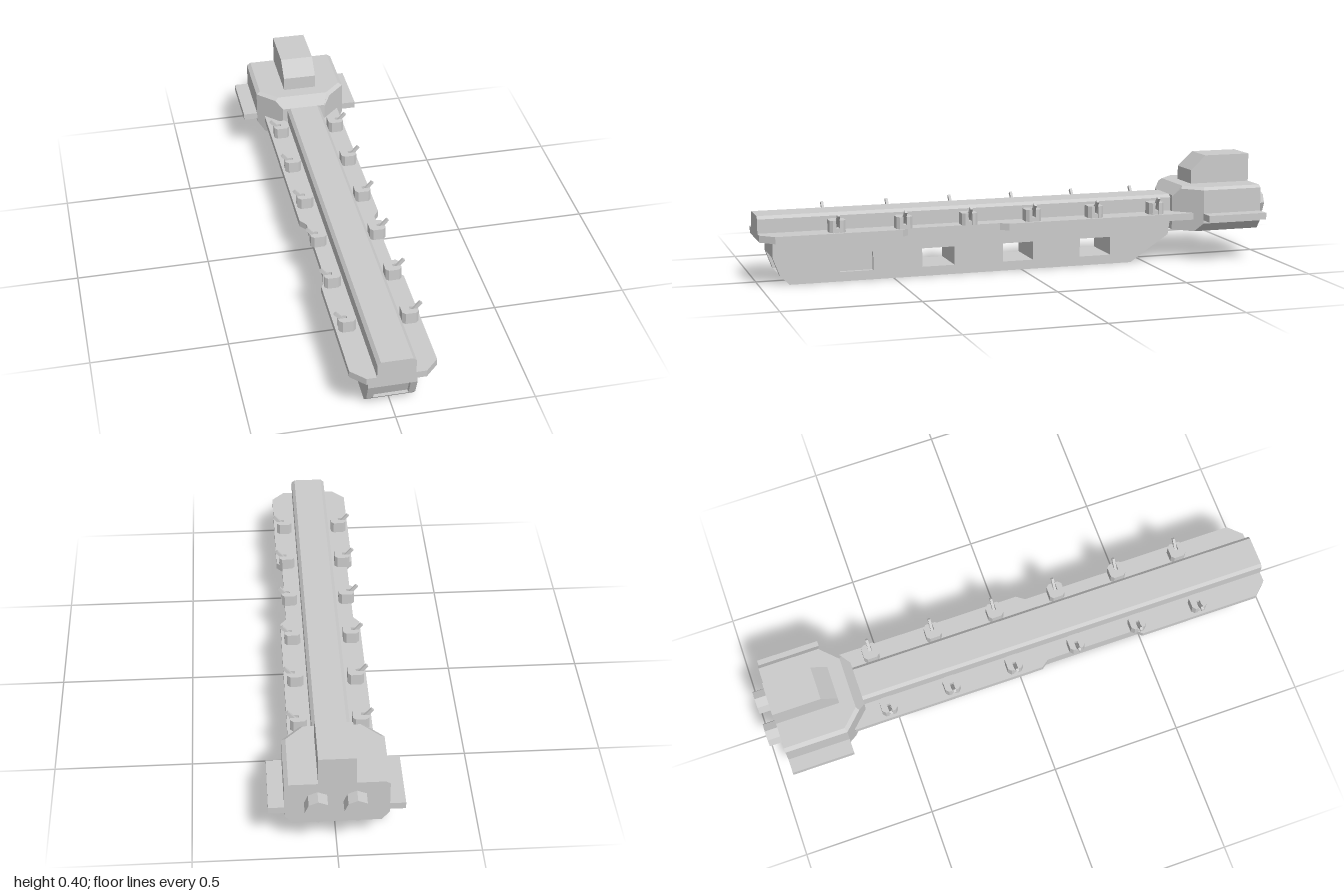
import * as THREE from 'three';

const mat = new THREE.MeshStandardMaterial({ color: 0xcccccc, flatShading: true });

function add(parent, name, geo, x = 0, y = 0, z = 0) {
  const mesh = new THREE.Mesh(geo, mat);
  mesh.name = name;
  mesh.position.set(x, y, z);
  parent.add(mesh);
  return mesh;
}

const toShape = pts => new THREE.Shape(pts.map(p => new THREE.Vector2(...p)));

function extrude(shape, depth) {
  return new THREE.ExtrudeGeometry(shape, { depth, bevelEnabled: false });
}

// Side profile given as (z, y), extruded along x and centred; windows run counter to the outline
function sideExtrude(pts, width, windows = []) {
  const shape = toShape(pts);
  for (const [a, b] of windows) {
    shape.holes.push(new THREE.Path([[a, 0.035], [b, 0.035], [b, 0.105], [a, 0.105]].map(p => new THREE.Vector2(...p))));
  }
  return extrude(shape, width).translate(0, 0, -width / 2).rotateY(-Math.PI / 2);
}

// Plan outline given as (x, z), extruded upward from y = 0
function planExtrude(pts, height) {
  return extrude(toShape(pts), height).rotateX(Math.PI / 2).translate(0, height, 0);
}

// Loft between rings of equal length, with flat end caps
function loft(rings) {
  const pos = [];
  const tri = (a, b, c) => pos.push(...a, ...b, ...c);
  const n = rings[0].length;
  for (let i = 0; i < rings.length - 1; i++) {
    for (let j = 0; j < n; j++) {
      const k = (j + 1) % n, A = rings[i], B = rings[i + 1];
      tri(A[j], B[j], B[k]);
      tri(A[j], B[k], A[k]);
    }
  }
  const first = rings[0], last = rings[rings.length - 1];
  for (let j = 1; j < n - 1; j++) {
    tri(first[0], first[j], first[j + 1]);
    tri(last[0], last[j + 1], last[j]);
  }
  const geo = new THREE.BufferGeometry();
  geo.setAttribute('position', new THREE.Float32BufferAttribute(pos, 3));
  geo.computeVertexNormals();
  return geo;
}

export function createModel() {
  const model = new THREE.Group();
  model.name = 'ship';

  // Hull: pierced core with recessed ends between two full-profile side walls
  const windows = [[0.577, 0.702], [0.265, 0.39], [-0.045, 0.075], [-0.36, -0.235]];
  const wall = [[0.95, 0.17], [0.95, 0.102], [0.925, 0.035], [0.89, 0],
    [-0.445, 0], [-0.6, 0.102], [-0.61, 0.17]];
  const core = [[0.95, 0.17], [0.95, 0.102], [0.935, 0.102], [0.91, 0.035], [0.925, 0.035], [0.89, 0],
    [-0.445, 0], [-0.468, 0.015], [-0.464, 0.021], [-0.579, 0.097], [-0.583, 0.091],
    [-0.6, 0.102], [-0.61, 0.17]];
  const hull = new THREE.Group();
  hull.name = 'hull';
  model.add(hull);
  add(hull, 'hullCore', sideExtrude(core, 0.126, windows));
  for (const s of [-1, 1]) {
    add(hull, 'hullWall', sideExtrude(wall, 0.024, windows), s * 0.075);
  }
  // Panel closing the foremost window
  add(hull, 'windowPanel', new THREE.BoxGeometry(0.01, 0.07, 0.125), 0.066, 0.07, 0.6395);

  // Deck with a shallow notch along each edge
  const edge = [[0.105, 1], [0.153, 0.95], [0.153, 0.48], [0.131, 0.455],
    [0.131, 0.1], [0.153, 0.07], [0.153, -0.68]];
  const mirrored = edge.map(([x, z]) => [-x, z]).reverse();
  add(model, 'deck', planExtrude([...edge, ...mirrored], 0.026), 0, 0.166);

  // Central spine with bevelled top edges
  const spine = [[-0.068, 0.18], [0.068, 0.18], [0.068, 0.244], [0.056, 0.255], [-0.056, 0.255], [-0.068, 0.244]];
  add(model, 'spine', extrude(toShape(spine), 1.63), 0, 0, -0.63);

  // Stern block with flat angled cheeks and a bevelled top; half sections are mirrored
  const halves = [
    [[0.087, 0.12, -0.617], [0.087, 0.153, -0.617], [0.087, 0.25, -0.617], [0.087, 0.255, -0.617]],
    [[0.113, 0.12, -0.643], [0.113, 0.153, -0.643], [0.113, 0.283, -0.643], [0.101, 0.293, -0.652]],
    [[0.153, 0.12, -0.683], [0.18, 0.153, -0.71], [0.18, 0.283, -0.71], [0.165, 0.293, -0.716]],
    [[0.153, 0.12, -0.95], [0.18, 0.153, -0.95], [0.18, 0.283, -0.95], [0.165, 0.293, -0.95]],
  ];
  const rings = halves.map(h => [...h, ...h.map(([x, y, z]) => [-x, y, z]).reverse()]);
  add(model, 'sternBlock', loft(rings));

  // Bridge tower with a sloped front
  const tower = [[-0.705, 0.28], [-0.705, 0.346], [-0.765, 0.402], [-0.95, 0.402], [-0.95, 0.28]];
  add(model, 'bridgeTower', sideExtrude(tower, 0.13));

  // Gun mount: slotted housing with cut corners, facing +x
  const a = 0.03, c = 0.019, w = 0.007;
  const housing = planExtrude([[a, w], [a, c], [c, a], [-c, a], [-a, c], [-a, -c], [-c, -a],
    [c, -a], [a, -c], [a, -w], [0, -w], [0, w]], 0.045);

  for (const s of [-1, 1]) {
    add(model, 'sternFin', new THREE.BoxGeometry(0.08, 0.026, 0.24), s * 0.195, 0.179, -0.83);
    const engine = new THREE.CylinderGeometry(0.046, 0.046, 0.06, 8).rotateX(Math.PI / 2);
    add(model, 'engine', engine, s * 0.067, 0.21, -0.97);

    for (let i = 0; i < 6; i++) {
      const gun = new THREE.Group();
      gun.name = 'gunMount';
      gun.position.set(s * 0.112, 0.192, 0.718 - i * 0.25);
      gun.rotation.y = s > 0 ? 0 : Math.PI;
      add(gun, 'housing', housing);
      add(gun, 'slotFloor', new THREE.BoxGeometry(0.026, 0.015, 0.014), 0.013, 0.0075);
      const barrel = add(gun, 'barrel', new THREE.BoxGeometry(0.06, 0.012, 0.01), 0.022, 0.044);
      barrel.rotation.z = 0.87;
      model.add(gun);
    }
  }
  return model;
}
